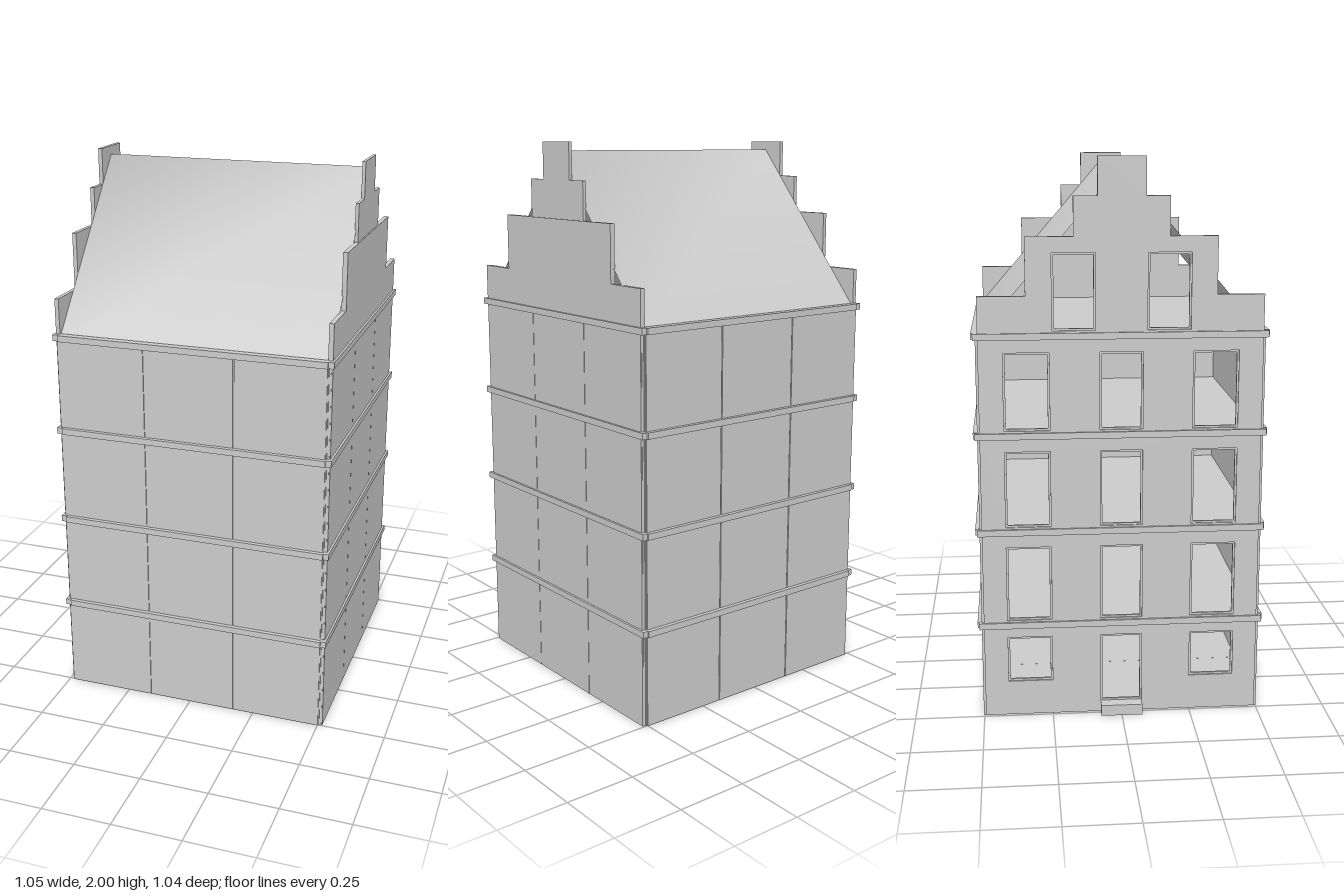
import * as THREE from 'three';

const FLOOR = 0.35; // storey height
const X0 = -0.475, X1 = 0.505; // inner faces of the two side walls
const grey = new THREE.MeshStandardMaterial({ color: 0xcccccc });
const thin = new THREE.MeshStandardMaterial({ color: 0xcccccc, side: THREE.DoubleSide });

export function createModel() {
  const root = new THREE.Group();

  const add = (name, geometry, material = grey) => {
    const mesh = new THREE.Mesh(geometry, material);
    mesh.name = name;
    root.add(mesh);
    return mesh;
  };
  // box given by its extents on each axis
  const box = (name, x0, x1, y0, y1, z0, z1) => {
    const m = add(name, new THREE.BoxGeometry(x1 - x0, y1 - y0, z1 - z0));
    m.position.set((x0 + x1) / 2, (y0 + y1) / 2, (z0 + z1) / 2);
  };
  const trace = (path, pts) => {
    pts.forEach(([a, b], i) => (i ? path.lineTo(a, b) : path.moveTo(a, b)));
    path.closePath();
    return path;
  };
  const rect = (z0, z1, y0, y1) => [[z0, y0], [z1, y0], [z1, y1], [z0, y1]];
  // upright slab drawn in (z, y), from outerX - depth to outerX
  const slab = (name, outline, holes, outerX, depth) => {
    const shape = trace(new THREE.Shape(), outline);
    holes.forEach((h) => shape.holes.push(trace(new THREE.Path(), h)));
    const g = new THREE.ExtrudeGeometry(shape, { depth, bevelEnabled: false });
    g.rotateY(-Math.PI / 2);
    add(name, g).position.x = outerX;
  };
  // window surround set into the wall
  const frame = (z0, z1, y0, y1) => {
    const t = 0.007;
    slab('windowFrame', rect(z0, z1, y0, y1),
      [rect(z0 + t, z1 - t, y0 + t, y1 - t)], X0 - 0.002, 0.008);
  };

  const columns = [[-0.41, -0.25], [-0.075, 0.075], [0.25, 0.41]];
  for (let i = 0; i < 4; i++) {
    const base = i * FLOOR;
    const bottom = i ? base - 0.01 : 0;
    const top = base + 0.34;

    // long walls: three panels with fine joints over a backing sheet
    for (const s of [-1, 1]) {
      const zs = (a, b) => (s > 0 ? [a, b] : [-b, -a]);
      box('longWallBacking', X0, X1, bottom, top, ...zs(0.485, 0.499));
      const w = (X1 - X0 + 0.01) / 3;
      for (let p = 0; p < 3; p++) {
        const x = X0 - 0.01 + p * w;
        box('longWallPanel', x, x + w - 0.004, bottom, top, ...zs(0.488, 0.503));
      }
    }

    // closed side wall
    box('sideWallBacking', X1 - 0.005, X1 + 0.008, bottom, top, -0.495, 0.495);
    for (let p = 0; p < 3; p++) {
      const z = -0.495 + p * 0.33;
      box('sideWallPanel', X1, X1 + 0.012, bottom, top, z + 0.001, z + 0.329);
    }

    // street facade with windows, and a door in the middle below
    const holes = columns.map(([z0, z1], c) => {
      if (i) return [z0, z1, base + 0.015, base + 0.29];
      return c === 1 ? [z0, z1, 0.04, 0.30] : [z0, z1, 0.13, 0.30];
    });
    slab('streetWall', rect(-0.495, 0.495, bottom, top), holes.map((h) => rect(...h)), X0, 0.015);
    holes.forEach((h) => frame(...h));

    // cornice bands around the top of the storey
    const b0 = base + 0.335, b1 = base + 0.358;
    box('frontBand', X0, X1, b0, b1, 0.49, 0.518);
    box('backBand', X0, X1, b0, b1, -0.518, -0.49);
    box('sideBand', X1, X1 + 0.02, b0, b1, -0.495, 0.495);
    box('streetBand', X0 - 0.022, X0, b0, b1, -0.495, 0.495);
    for (const x of [X0 - 0.022, X1])
      for (const z of [-0.512, 0.49]) box('bandCorner', x, x + 0.02, b0, b1, z, z + 0.022);

    // floor above this storey
    box('floor', X0, X1, base + 0.335, base + 0.352, -0.49, 0.49);
  }

  // ground slab tiles, with one tile set higher than the rest
  for (let a = 0; a < 3; a++)
    for (let b = 0; b < 3; b++) {
      const raised = a === 2 && b === 1;
      const x = X0 + (a * (X1 - X0)) / 3, z = -0.49 + (b * 0.98) / 3;
      box('groundTile', x, x + 0.326, raised ? 0.04 : 0, raised ? 0.05 : 0.04, z, z + 0.326);
    }
  box('doorstep', X0 - 0.055, X0 - 0.012, 0, 0.04, -0.075, 0.075);

  // stepped gables
  const steps = [[0.495, 1.535], [0.33, 1.735], [0.165, 1.87], [0.083, 2.0]];
  const half = [[0.495, 1.4]];
  steps.forEach(([z, y], i) => {
    half.push([z, y]);
    if (steps[i + 1]) half.push([steps[i + 1][0], y]);
  });
  const gable = [...half, ...half.map(([z, y]) => [-z, y]).reverse()];
  const attic = [[-0.24, -0.09], [0.09, 0.24]].map(([z0, z1]) => [z0, z1, 1.415, 1.68]);
  slab('streetGable', gable, attic.map((h) => rect(...h)), X0, 0.015);
  attic.forEach((h) => frame(...h));
  slab('sideGable', gable, [], X1 + 0.007, 0.012);
  slab('sideGableFacing', [
    [0.495, 1.4], [0.495, 1.535], [0.33, 1.535], [0.33, 1.735],
    [-0.33, 1.735], [-0.33, 1.535], [-0.495, 1.535], [-0.495, 1.4],
  ], [], X1 + 0.012, 0.006);

  // pitched roof, softly shaded over the ridge
  const roof = new THREE.BufferGeometry();
  const pos = [];
  for (const [y, z] of [[1.4, 0.49], [1.97, 0], [1.4, -0.49]]) pos.push(X0, y, z, X1, y, z);
  roof.setAttribute('position', new THREE.Float32BufferAttribute(pos, 3));
  roof.setIndex([0, 1, 3, 0, 3, 2, 2, 3, 5, 2, 5, 4]);
  roof.computeVertexNormals();
  add('roof', roof, thin);

  return root;
}
